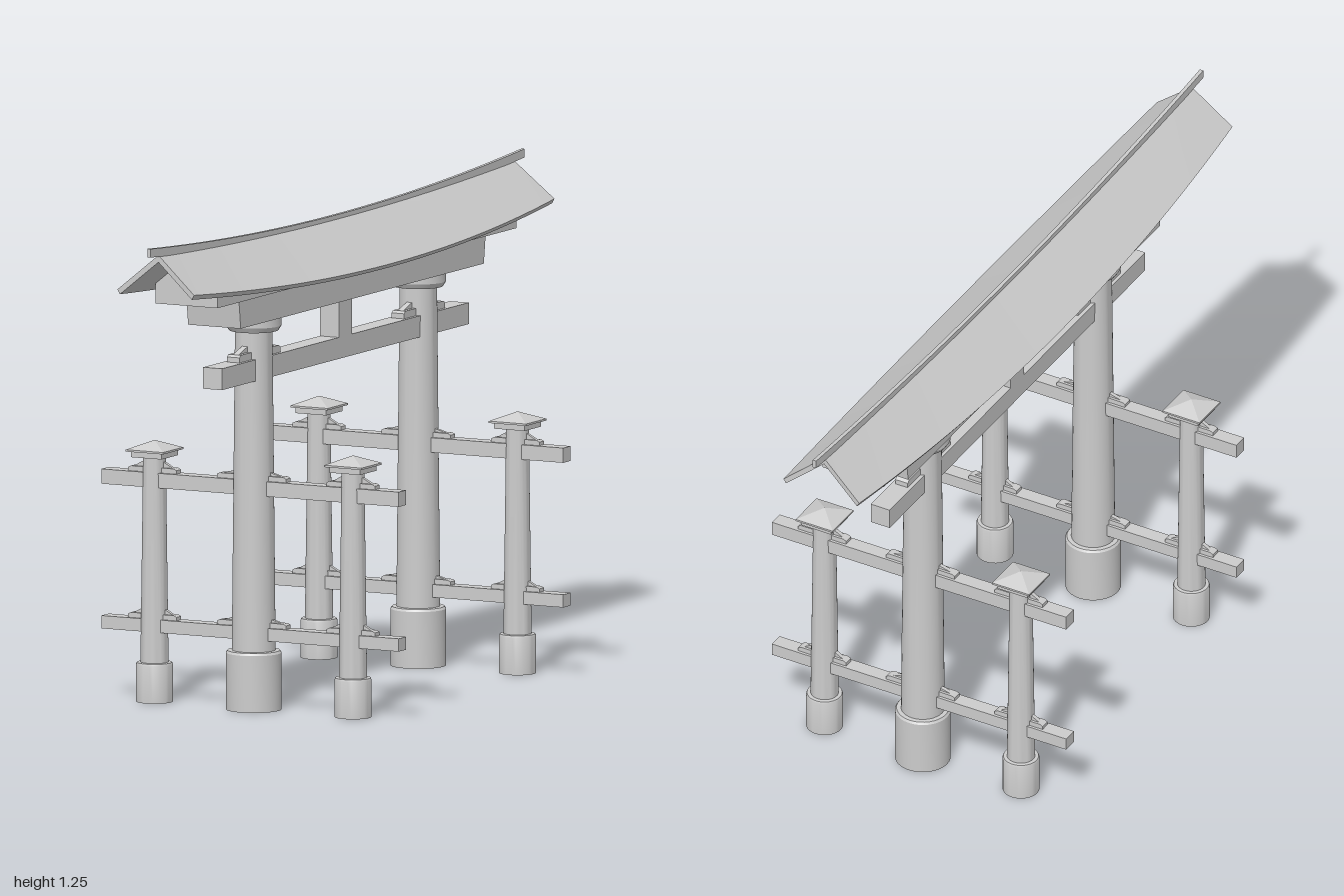
import * as THREE from 'three';
import { toCreasedNormals } from 'three/addons/utils/BufferGeometryUtils.js';

const material = new THREE.MeshStandardMaterial({ color: 0xcccccc, side: THREE.DoubleSide });
const PILLAR_Z = 0.44, POST_X = 0.287;

function add(parent, name, geometry, x = 0, y = 0, z = 0) {
  const mesh = new THREE.Mesh(geometry, material);
  mesh.name = name;
  mesh.position.set(x, y, z);
  parent.add(mesh);
  return mesh;
}

// Box given by its bottom and top heights
function slab(parent, name, w, y0, y1, d, x = 0, z = 0) {
  return add(parent, name, new THREE.BoxGeometry(w, y1 - y0, d), x, (y0 + y1) / 2, z);
}

// Profile in x/y extruded evenly to both sides of z = 0
function prism(points, depth, steps = 1) {
  const shape = new THREE.Shape(points.map(([x, y]) => new THREE.Vector2(x, y)));
  return new THREE.ExtrudeGeometry(shape, { depth, steps, bevelEnabled: false }).translate(0, 0, -depth / 2);
}

// Move every vertex by a rule
function bend(geometry, rule) {
  const p = geometry.attributes.position, v = new THREE.Vector3();
  for (let i = 0; i < p.count; i++) {
    rule(v.fromBufferAttribute(p, i));
    p.setXYZ(i, v.x, v.y, v.z);
  }
  return toCreasedNormals(geometry, 0.5);
}

function turned(points) {
  const profile = points.map(([r, y]) => new THREE.Vector2(r, y));
  return toCreasedNormals(new THREE.LatheGeometry(profile, 32), 0.5);
}

// Pair of stepped wedges locking a beam on both sides of a column
function wedges(parent, length, s, x, y, z, alongZ = false) {
  const group = new THREE.Group();
  group.name = 'wedgePair';
  group.position.set(x, y, z);
  if (alongZ) group.rotation.y = Math.PI / 2;
  for (const turn of [0, Math.PI]) {
    const base = prism([[0, 0], [length, 0], [length, 0.009 * s], [length - 0.008, 0.013 * s], [0, 0.013 * s]], 0.025 * s);
    const top = prism([[0, 0], [length - 0.012, 0.012 * s], [0.03, 0.027 * s], [0, 0.027 * s]], 0.011 * s);
    add(group, 'wedgeBase', base).rotation.y = turn;
    add(group, 'wedgeTop', top).rotation.y = turn;
  }
  parent.add(group);
}

function buildSide(z) {
  const side = new THREE.Group();
  side.name = 'pillarFrame';
  side.position.z = z;

  // Main pillar with wide foot and round capital
  add(side, 'mainPillar', turned([[0.071, 0], [0.071, 0.146], [0.067, 0.152], [0.056, 0.153], [0.048, 0.975],
    [0.063, 0.975], [0.071, 0.988], [0.071, 1.01], [0, 1.01]]));

  // Smaller support posts with pyramid caps
  for (const x of [-POST_X, POST_X]) {
    add(side, 'supportPost', turned([[0.047, 0], [0.047, 0.096], [0.045, 0.101], [0.036, 0.102], [0.029, 0.632]]), x);
    slab(side, 'postCapBlock', 0.088, 0.63, 0.647, 0.088, x);
    slab(side, 'postCapEave', 0.108, 0.645, 0.65, 0.108, x);
    const cap = new THREE.ConeGeometry(0.054 * Math.SQRT2, 0.022, 4, 1).rotateY(Math.PI / 4);
    add(side, 'postCapRoof', toCreasedNormals(cap, 0.1), x, 0.661, 0);
  }

  // Rails and their wedges
  for (const [y0, y1] of [[0.18, 0.213], [0.552, 0.59]]) {
    slab(side, 'rail', 0.86, y0, y1, 0.04);
    wedges(side, 0.1, 1, 0, y1, 0);
    for (const x of [-POST_X, POST_X]) wedges(side, 0.07, 1, x, y1, 0);
  }
  return side;
}

export function createModel() {
  const gate = new THREE.Group();
  gate.name = 'gate';

  for (const z of [-PILLAR_Z, PILLAR_Z]) {
    gate.add(buildSide(z));
    wedges(gate, 0.11, 1.45, 0, 0.905, z, true);
  }

  // Tie beam and centre strut
  slab(gate, 'tieBeam', 0.055, 0.85, 0.905, 1.32);
  slab(gate, 'centreStrut', 0.055, 0.905, 1.01, 0.07);

  // Lintel with ends leaning outwards
  const lintel = new THREE.BoxGeometry(0.152, 0.075, 1.32);
  add(gate, 'lintel', bend(lintel, (v) => { if (v.y < 0) v.z *= 0.985; }), 0, 1.0475, 0);

  // Five-sided beam under the roof, its top following the roof curve
  const beam = prism([[-0.09, 1.083], [0.09, 1.083], [0.09, 1.122], [0, 1.19], [-0.09, 1.122]], 1.6, 24);
  add(gate, 'roofBeam', bend(beam, (v) => { if (v.y > 1.1) v.y += 0.028 * v.z * v.z; }));

  // Curved roof, narrowing and rising towards both ends
  const roof = prism([[0, 1.207], [-0.148, 1.096], [-0.139, 1.085], [0, 1.189], [0.139, 1.085], [0.148, 1.096]], 1.9, 32);
  add(gate, 'roof', bend(roof, (v) => {
    const q = v.z * v.z, out = Math.abs(v.x);
    v.y += q * (0.028 + 0.13 * out);
    v.x *= 1 - 0.28 * q;
    v.z *= 1 + 0.1 * out;
  }));

  // Thin ridge strip
  const ridge = new THREE.BoxGeometry(0.01, 0.022, 2, 1, 1, 32);
  add(gate, 'ridge', bend(ridge, (v) => { v.y += 0.04 * v.z * v.z; }), 0, 1.204, 0);

  return gate;
}
